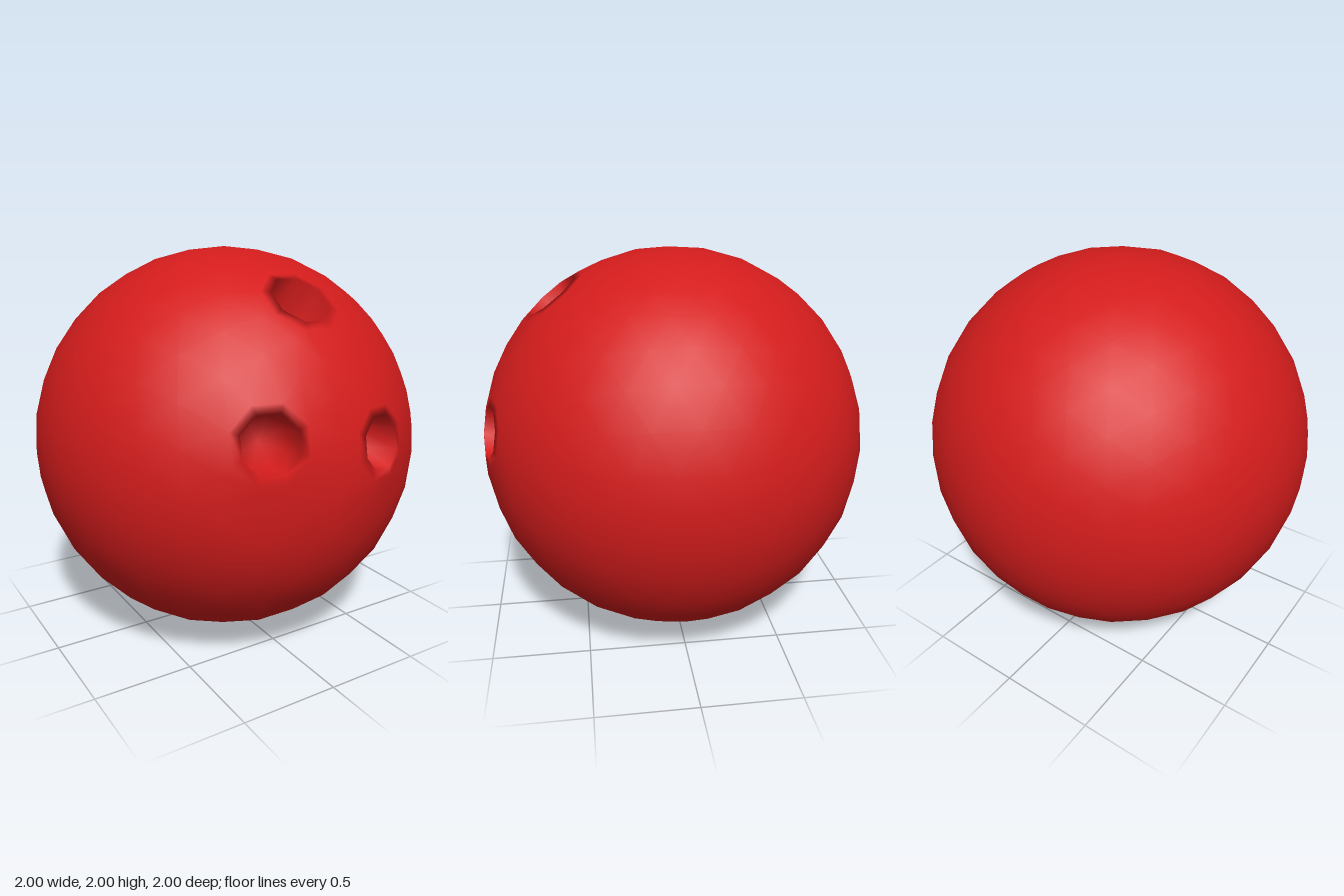
import * as THREE from 'three';
import { mergeVertices } from 'three/addons/utils/BufferGeometryUtils.js';
import { ConvexGeometry } from 'three/addons/geometries/ConvexGeometry.js';

const SIDES = 8;
const DEPTH = 0.2;

// Finger and thumb holes: outward direction from the ball's centre, and radius
const HOLES = [
  { dir: new THREE.Vector3(-0.325, 0.225, 0.92).normalize(), radius: 0.14 },
  { dir: new THREE.Vector3(0.27, 0.155, 0.95).normalize(), radius: 0.133 },
  { dir: new THREE.Vector3(0.04, 0.78, 0.61).normalize(), radius: 0.15 },
];

// Octagonal ring around a hole's axis, at a given distance along it
function ring(dir, radius, along) {
  const turn = new THREE.Quaternion().setFromUnitVectors(new THREE.Vector3(0, 0, 1), dir);
  return Array.from({ length: SIDES }, (_, i) => {
    const a = ((i + 0.5) / SIDES) * Math.PI * 2;
    return new THREE.Vector3(radius * Math.cos(a), radius * Math.sin(a), along).applyQuaternion(turn);
  });
}

const onSphere = (dir, radius) => ring(dir, radius, Math.sqrt(1 - radius * radius));

function ballGeometry() {
  // Ball surface points, with rings in place of those near a hole
  const source = new THREE.IcosahedronGeometry(1, 5).attributes.position;
  const points = [];
  for (let i = 0; i < source.count; i++) {
    const p = new THREE.Vector3().fromBufferAttribute(source, i);
    if (HOLES.every((h) => p.distanceTo(h.dir) > h.radius + 0.09)) points.push(p);
  }
  for (const h of HOLES) points.push(...onSphere(h.dir, h.radius), ...onSphere(h.dir, h.radius + 0.045));

  // Keep the skin but leave the holes open
  const skin = new ConvexGeometry(points).attributes.position;
  const verts = [];
  const add = (...corners) => corners.forEach((c) => verts.push(c.x, c.y, c.z));
  for (let i = 0; i < skin.count; i += 3) {
    const face = [0, 1, 2].map((k) => new THREE.Vector3().fromBufferAttribute(skin, i + k));
    const isCap = HOLES.some((h) => face.every((p) => p.dot(h.dir) > Math.sqrt(1 - h.radius ** 2) - 1e-4));
    if (!isCap) add(...face);
  }

  // Hole walls and floors
  for (const { dir, radius } of HOLES) {
    const bottom = Math.sqrt(1 - radius * radius) - DEPTH;
    const rim = onSphere(dir, radius);
    const base = ring(dir, radius * 0.9, bottom);
    const centre = dir.clone().multiplyScalar(bottom - 0.02);
    for (let i = 0; i < SIDES; i++) {
      const j = (i + 1) % SIDES;
      add(rim[i], base[j], base[i], rim[i], rim[j], base[j]);
      add(base[i], base[j], centre);
    }
  }

  const soup = new THREE.BufferGeometry();
  soup.setAttribute('position', new THREE.Float32BufferAttribute(verts, 3));
  const geometry = mergeVertices(soup, 1e-4);
  geometry.computeVertexNormals();
  return geometry;
}

export function createModel() {
  const group = new THREE.Group();
  group.name = 'bowlingBall';
  const ball = new THREE.Mesh(ballGeometry(), new THREE.MeshStandardMaterial({ color: 0xd41c1c }));
  ball.name = 'ballWithFingerHoles';
  ball.position.y = 1;
  group.add(ball);
  return group;
}
